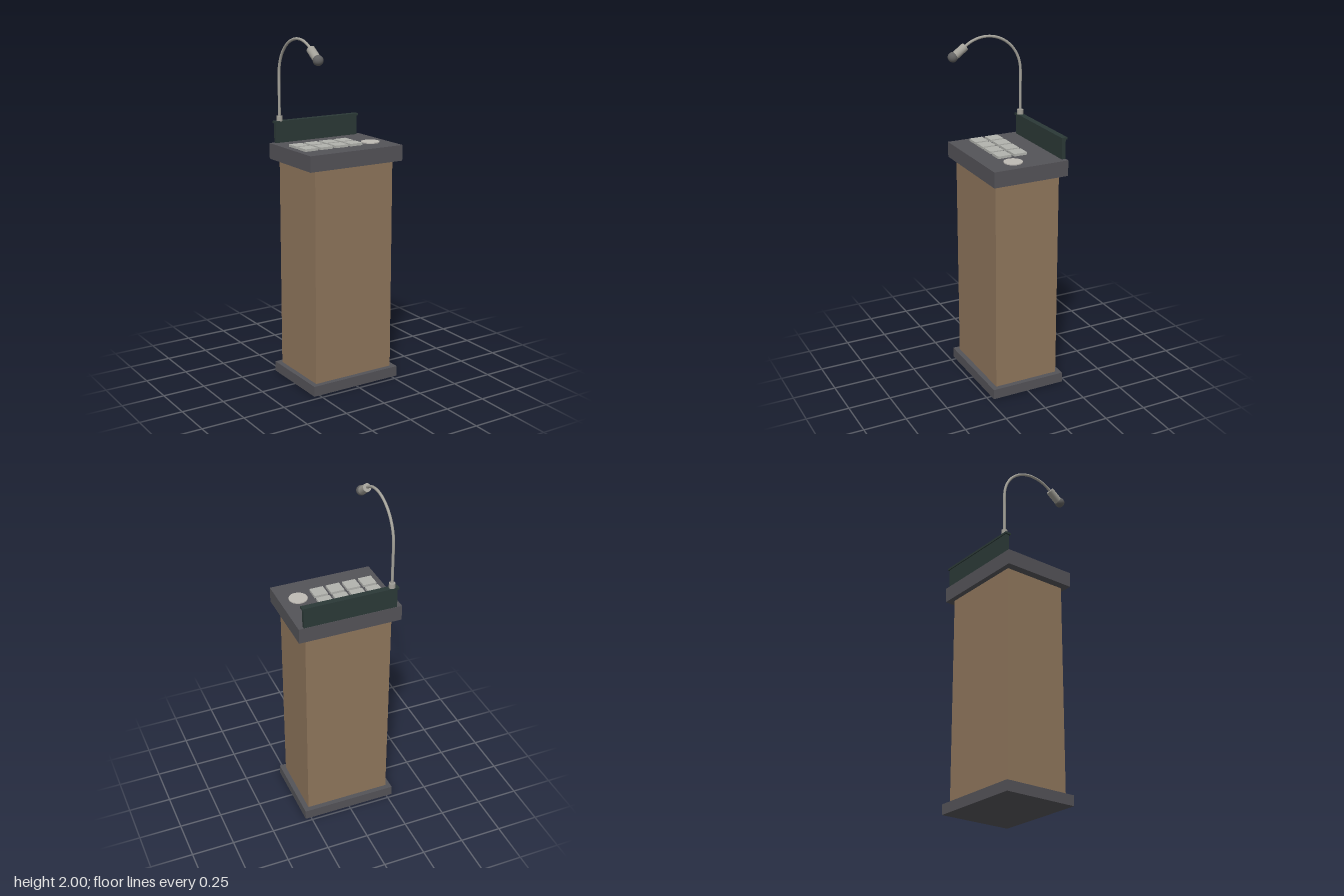
import * as THREE from 'three';

const mat = (color) => new THREE.MeshStandardMaterial({ color });

export function createModel() {
  const model = new THREE.Group();
  model.name = 'lectern';
  const wood = mat(0x8f765c), dark = mat(0x545358), panel = mat(0x2b3937);
  const key = mat(0xb2b3ae), dial = mat(0xbebab4), metal = mat(0xa3a199), foam = mat(0x626262);

  const add = (name, geometry, material, parent = model) => {
    const mesh = new THREE.Mesh(geometry, material);
    mesh.name = name;
    parent.add(mesh);
    return mesh;
  };
  // Box given by its minimum and maximum on each axis
  const box = (name, material, [x0, x1], [y0, y1], [z0, z1], parent) =>
    add(name, new THREE.BoxGeometry(x1 - x0, y1 - y0, z1 - z0), material, parent)
      .position.set((x0 + x1) / 2, (y0 + y1) / 2, (z0 + z1) / 2);

  // Cabinet
  box('base', dark, [-0.285, 0.285], [0, 0.06], [-0.23, 0.22]);
  box('column', wood, [-0.255, 0.255], [0.06, 1.3], [-0.2, 0.19]);
  box('desktop', dark, [-0.302, 0.302], [1.3, 1.39], [-0.231, 0.22]);

  // Upright rear panel with an overhanging cap
  box('rearPanel', panel, [-0.272, 0.272], [1.39, 1.505], [-0.229, -0.206]);
  box('rearPanelCap', panel, [-0.28, 0.28], [1.503, 1.515], [-0.235, -0.2]);

  // Two rows of four keys
  const keys = new THREE.Group();
  keys.name = 'keypad';
  model.add(keys);
  for (let row = 0; row < 2; row++) {
    for (let col = 0; col < 4; col++) {
      const x = -0.263 + col * 0.098, z = -0.077 + row * 0.099;
      box('key', key, [x, x + 0.08], [1.388, 1.404], [z, z + 0.08], keys);
    }
  }

  // Flat round pad
  add('roundPad', new THREE.CylinderGeometry(0.053, 0.053, 0.007, 48), dial)
    .position.set(0.196, 1.3925, 0.054);

  // Gooseneck microphone
  const mic = new THREE.Group();
  mic.name = 'microphone';
  mic.position.x = -0.243;
  model.add(mic);
  add('collar', new THREE.CylinderGeometry(0.018, 0.018, 0.03, 24), metal, mic)
    .position.set(0, 1.528, -0.217);

  const R = 0.217, cy = 1.775, end = 0.64;
  const path = [new THREE.Vector3(0, 1.52, -R), new THREE.Vector3(0, 1.61, -R), new THREE.Vector3(0, 1.7, -R)];
  for (let i = 0; i <= 12; i++) {
    const a = -Math.PI / 2 + (Math.PI / 2 + end) * i / 12;
    path.push(new THREE.Vector3(0, cy + R * Math.cos(a), R * Math.sin(a)));
  }
  add('gooseneck', new THREE.TubeGeometry(new THREE.CatmullRomCurve3(path), 60, 0.008, 12), metal, mic);

  // Capsule runs down and forward to the round windscreen
  const from = new THREE.Vector3(0, 1.947, 0.13), to = new THREE.Vector3(0, 1.898, 0.198);
  const dir = to.clone().sub(from);
  const capsule = add('capsule', new THREE.CylinderGeometry(0.024, 0.024, dir.length(), 24), metal, mic);
  capsule.position.copy(from).add(to).multiplyScalar(0.5);
  capsule.quaternion.setFromUnitVectors(new THREE.Vector3(0, 1, 0), dir.normalize());
  add('windscreen', new THREE.SphereGeometry(0.029, 28, 18), foam, mic).position.set(0, 1.895, 0.206);

  return model;
}
